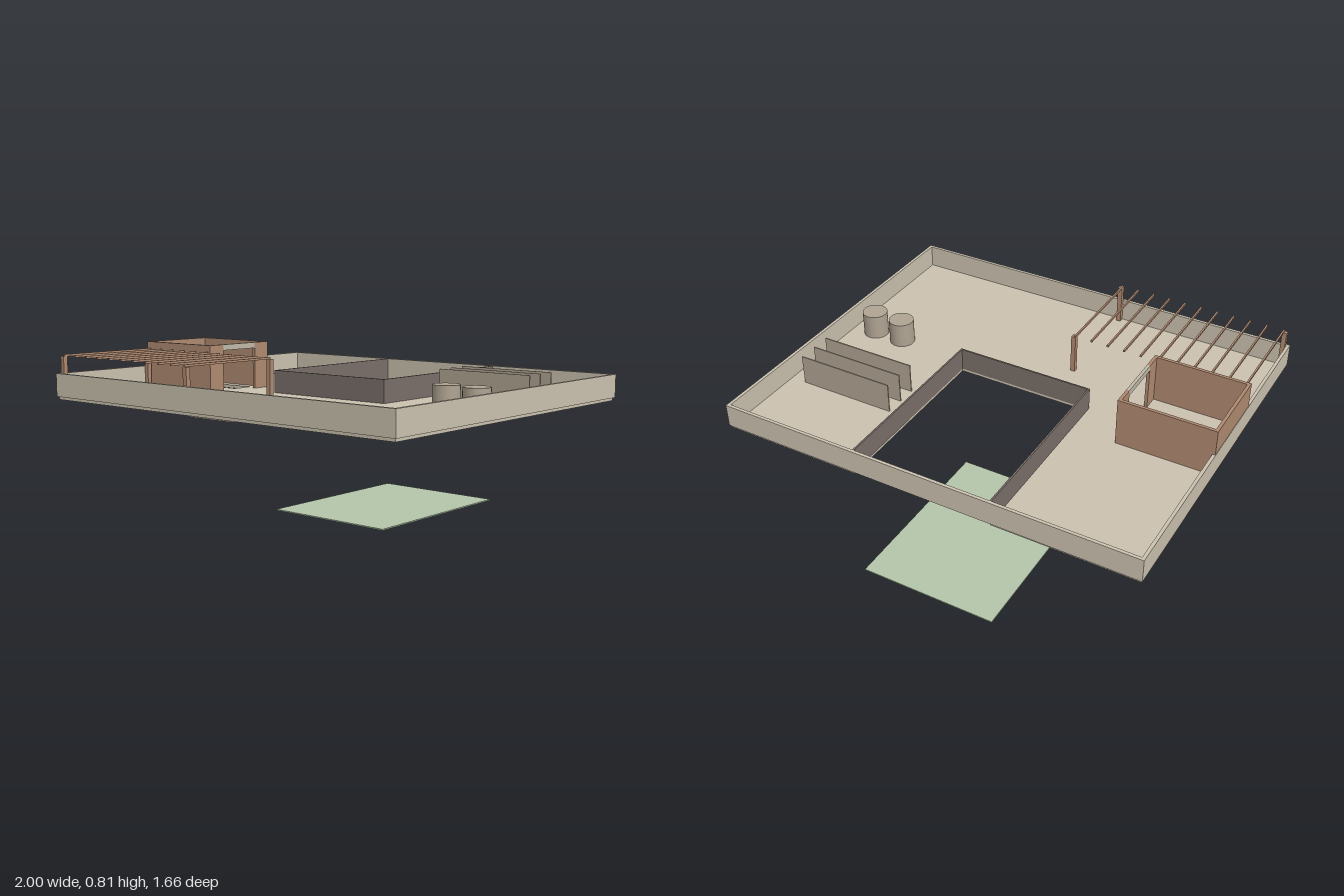
import * as THREE from 'three';

const mat = (name, color) => new THREE.MeshStandardMaterial({ name, color });

export function createModel() {
  const concrete = mat('concrete', 0xcbc2b0);
  const terracotta = mat('terracotta', 0xb08a70);
  const stone = mat('stone', 0xb0a492);
  const courtWall = mat('dark wall', 0x7a6f69);
  const grass = mat('grass', 0xb4c6aa);
  const lintelGrey = mat('lintel', 0xc0baa9);

  const model = new THREE.Group();
  model.name = 'roofTerrace';

  const add = (parent, name, geometry, material) => {
    const mesh = new THREE.Mesh(geometry, material);
    mesh.name = name;
    parent.add(mesh);
    return mesh;
  };
  // Box given by its minimum and maximum corners
  const box = (parent, name, material, x0, x1, y0, y1, z0, z1) => {
    const mesh = add(parent, name, new THREE.BoxGeometry(x1 - x0, y1 - y0, z1 - z0), material);
    mesh.position.set((x0 + x1) / 2, (y0 + y1) / 2, (z0 + z1) / 2);
    return mesh;
  };
  const group = (name) => {
    const g = new THREE.Group();
    g.name = name;
    model.add(g);
    return g;
  };
  const points = (list) => list.map(([x, y]) => new THREE.Vector2(x, y));
  const rect = (x, z) => points([[-x, -z], [x, -z], [x, z], [-x, z]]);

  const FLOOR = 0.578;
  const RIM = 0.686;

  // Extrude a plan outline (x, z) downwards from the given top height
  const planSlab = (name, shape, top, depth, material) => {
    const geometry = new THREE.ExtrudeGeometry(shape, { depth, bevelEnabled: false });
    geometry.rotateX(Math.PI / 2);
    add(model, name, geometry, material).position.y = top;
  };

  // Floor slab, notched for the courtyard and pierced for the stair
  const floor = new THREE.Shape(points([
    [-0.992, 0.823], [-0.992, -0.823], [-0.33, -0.823], [-0.33, 0.052],
    [0.33, 0.052], [0.33, -0.823], [0.992, -0.823], [0.992, 0.823],
  ]));
  floor.holes.push(new THREE.Path(points([
    [-0.94, -0.05], [-0.61, -0.05], [-0.61, 0.053], [-0.94, 0.053],
  ])));
  planSlab('floorSlab', floor, FLOOR, 0.015, concrete);

  // Outer parapet
  const parapet = new THREE.Shape(rect(1, 0.832));
  parapet.holes.push(new THREE.Path(rect(0.985, 0.817)));
  planSlab('parapet', parapet, RIM, RIM - FLOOR + 0.001, concrete);

  // Courtyard walls and the lawn far below
  const court = group('courtyard');
  for (const s of [-1, 1]) {
    box(court, 'courtyardSideWall', courtWall, s * 0.331 - 0.004, s * 0.331 + 0.004, FLOOR, RIM, -0.817, 0.056);
  }
  box(court, 'courtyardFrontWall', courtWall, -0.327, 0.327, FLOOR, RIM, 0.048, 0.056);
  box(court, 'lawn', grass, -0.33, 0.33, 0, 0.006, -0.825, 0.055);

  // Open-topped stair enclosure with a doorway on its left side
  const house = group('stairEnclosure');
  const [x0, x1, z0, z1, top, t] = [-0.998, -0.545, -0.115, 0.278, 0.806, 0.015];
  box(house, 'enclosureBackWall', terracotta, x0, x1, FLOOR, top, z0, z0 + t);
  box(house, 'enclosureFrontWall', terracotta, x0, x1, FLOOR, top, z1 - t, z1);
  box(house, 'enclosureRightWall', terracotta, x0, x0 + t, FLOOR, top, z0 + t, z1 - t);
  box(house, 'doorSideWall', terracotta, x1 - t, x1, FLOOR, top, z0 + t, -0.025);
  box(house, 'doorSideWall', terracotta, x1 - t, x1, FLOOR, top, 0.19, z1 - t);
  box(house, 'doorLintel', lintelGrey, x1 - t, x1, 0.778, top, -0.025, 0.19);

  // Solid stair rising towards +x from a thin landing
  const stair = group('stair');
  const steps = 8, run = 0.22 / steps, rise = 0.15 / steps, base = 0.41;
  const profile = [[-0.635, base], [-0.635, base + steps * rise]];
  for (let i = steps; i > 0; i--) {
    const x = -0.855 + (i - 1) * run;
    profile.push([x, base + i * rise], [x, base + (i - 1) * rise]);
  }
  profile.pop();
  profile.push([-0.855, base]);
  const stairShape = new THREE.Shape(points(profile));
  add(stair, 'steps', new THREE.ExtrudeGeometry(stairShape, { depth: 0.1, bevelEnabled: false }), terracotta)
    .position.z = -0.048;
  box(stair, 'landing', stone, -0.94, -0.636, 0.405, base, -0.05, 0.053);

  // Pergola of four posts and a row of slats
  const pergola = group('pergola');
  for (const x of [-0.974, -0.133]) {
    for (const z of [0.297, 0.803]) {
      box(pergola, 'pergolaPost', terracotta, x - 0.011, x + 0.011, FLOOR, 0.766, z - 0.011, z + 0.011);
    }
  }
  for (let i = 0; i < 11; i++) {
    const x = -0.966 + i * 0.0825;
    box(pergola, 'pergolaSlat', terracotta, x - 0.004, x + 0.004, 0.765, 0.775, 0.288, 0.81);
  }

  // Upright screens
  for (const z of [-0.4, -0.31, -0.222]) {
    box(model, 'screen', stone, 0.438, 0.91, FLOOR, 0.72, z - 0.003, z + 0.003);
  }

  // Round tanks
  for (const x of [0.714, 0.867]) {
    add(model, 'tank', new THREE.CylinderGeometry(0.06, 0.06, 0.118, 32), stone)
      .position.set(x, FLOOR + 0.059, 0.118);
  }

  return model;
}
